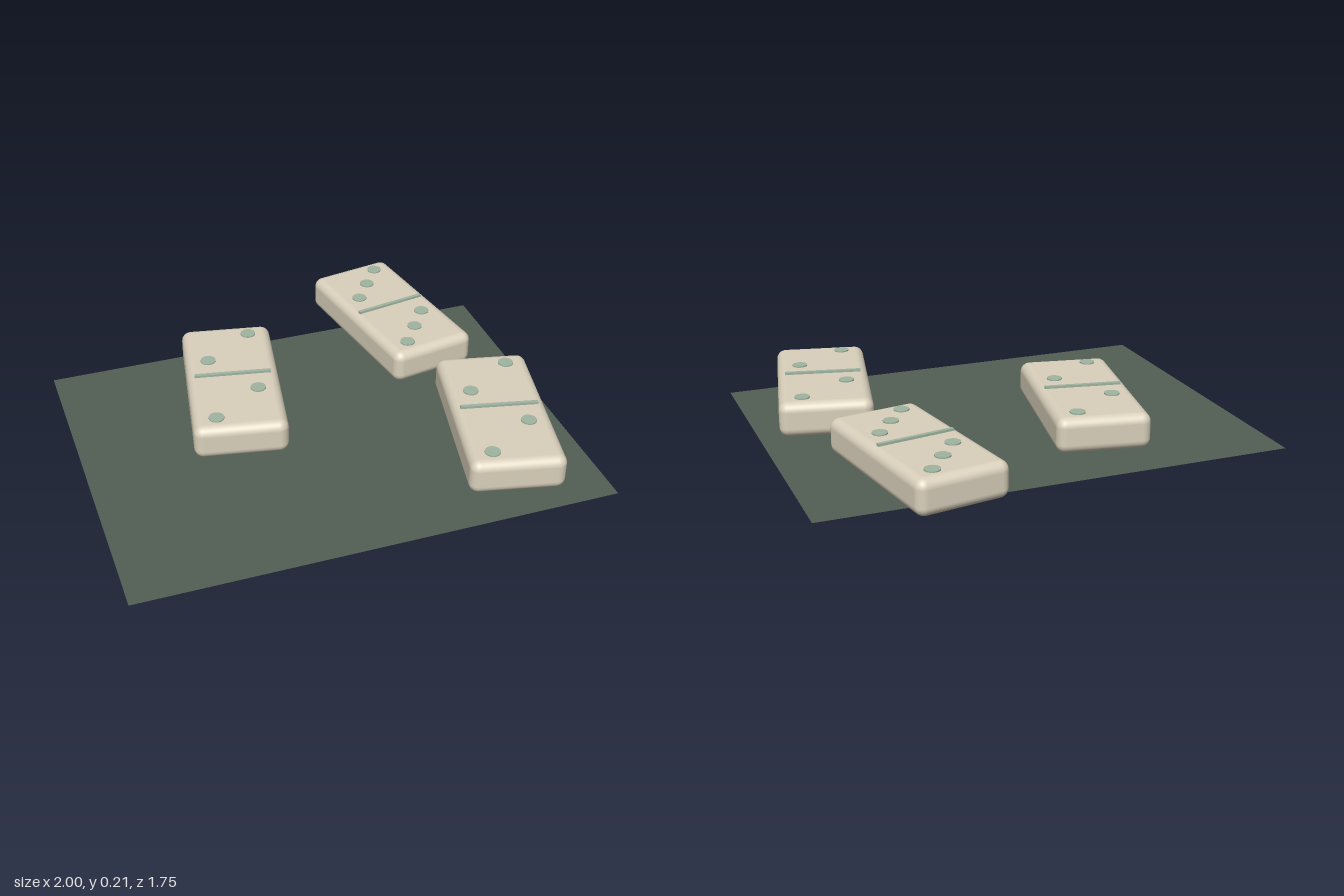
import * as THREE from 'three';
import { RoundedBoxGeometry } from 'three/addons/geometries/RoundedBoxGeometry.js';

export function createModel() {
  const material = (name, color, extra = {}) => {
    const m = new THREE.MeshStandardMaterial({ color, ...extra });
    m.name = name;
    return m;
  };
  const ivory = material('ivory', 0xdad1bc);
  const sage = material('sage green', 0xa0b5a2);
  const felt = material('dark green felt', 0x525e55, { side: THREE.DoubleSide });

  const model = new THREE.Group();
  model.name = 'dominoes on a mat';

  const add = (parent, name, geometry, mat, x, y, z) => {
    const mesh = new THREE.Mesh(geometry, mat);
    mesh.name = name;
    mesh.position.set(x, y, z);
    parent.add(mesh);
  };

  // Flat mat under the tiles
  const matGeometry = new THREE.PlaneGeometry(2, 1.525).rotateX(-Math.PI / 2);
  add(model, 'mat', matGeometry, felt, 0, 0, 0.1125);

  // Shared tile parts
  const tileGeometry = new RoundedBoxGeometry(0.39, 0.15, 0.775, 5, 0.04);
  const dividerGeometry = new THREE.BoxGeometry(0.325, 0.014, 0.016);
  const pipGeometry = new THREE.CylinderGeometry(0.032, 0.032, 0.009, 24);

  // One tile; each half carries a diagonal row of pips
  const addTile = (name, x, z, turn, steps) => {
    const tile = new THREE.Group();
    tile.name = name;
    tile.position.set(x, 0, z);
    tile.rotation.y = turn;
    add(tile, 'tileBody', tileGeometry, ivory, 0, 0.125, 0);
    add(tile, 'divider', dividerGeometry, sage, 0, 0.203, 0);
    for (const half of [-1, 1]) {
      for (const s of steps) {
        add(tile, 'pip', pipGeometry, sage, s * 0.096, 0.201, half * 0.211 - s * 0.096);
      }
    }
    model.add(tile);
  };

  addTile('rightTile', -0.302, -0.154, -0.187, [-1, 1]);
  addTile('backLeftTile', 0.539, -0.468, 0.17, [-1, 0, 1]);
  addTile('frontLeftTile', 0.673, 0.42, -0.216, [-1, 1]);

  return model;
}
